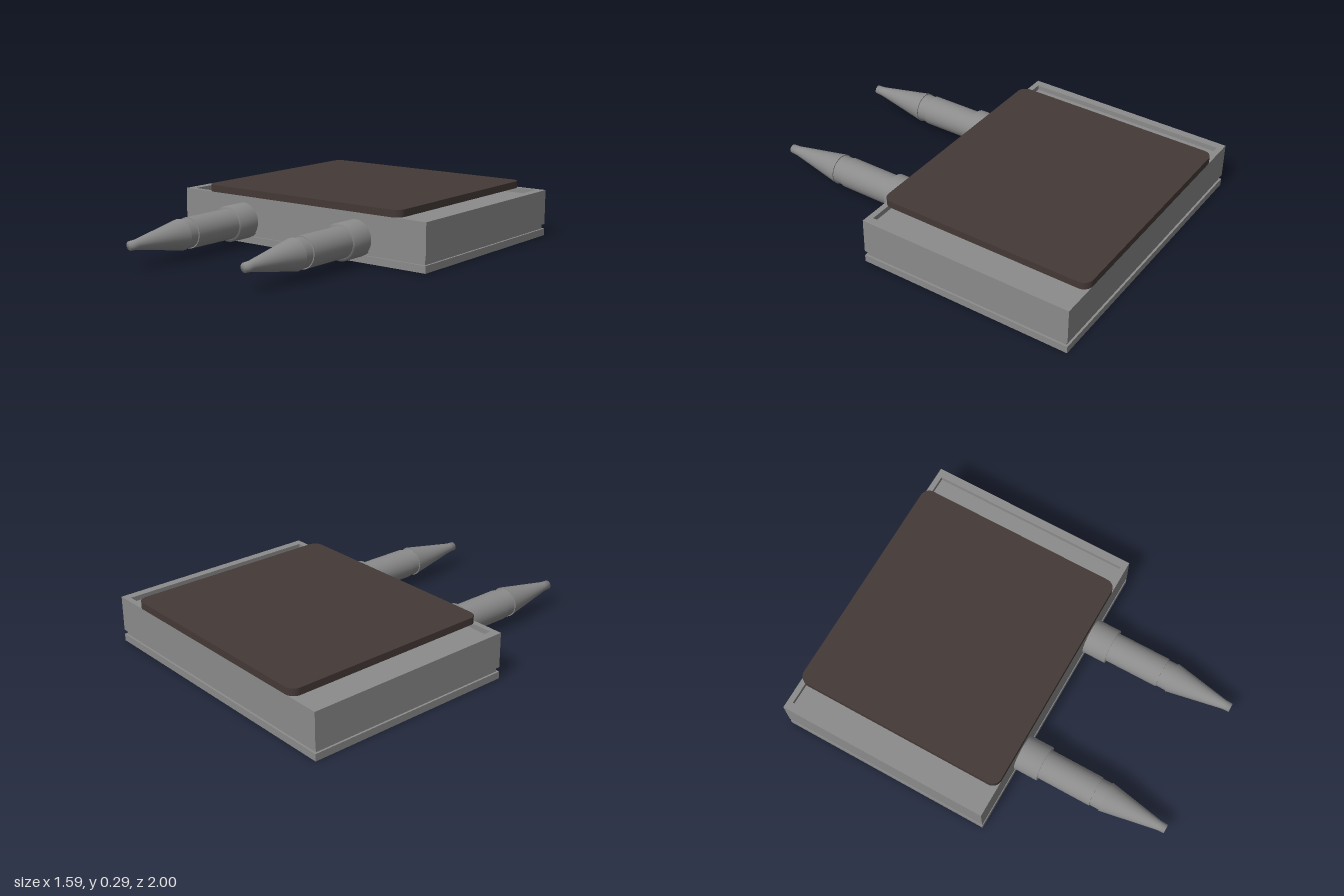
import * as THREE from 'three';

const grey = new THREE.MeshStandardMaterial({ color: 0x8b8b8b });
const brown = new THREE.MeshStandardMaterial({ color: 0x443937 });

const HALF_W = 0.793, BACK = -1, FRONT = 0.17;
const MID_Z = (BACK + FRONT) / 2, DEPTH = FRONT - BACK;

function rectangle(path, w, d, r = 0) {
  const x = w / 2, y = d / 2;
  path.moveTo(-x + r, -y);
  path.lineTo(x - r, -y);
  if (r) path.absarc(x - r, -y + r, r, -Math.PI / 2, 0);
  path.lineTo(x, y - r);
  if (r) path.absarc(x - r, y - r, r, 0, Math.PI / 2);
  path.lineTo(-x + r, y);
  if (r) path.absarc(-x + r, y - r, r, Math.PI / 2, Math.PI);
  path.lineTo(-x, -y + r);
  if (r) path.absarc(-x + r, -y + r, r, Math.PI, Math.PI * 1.5);
  path.closePath();
  return path;
}

// Horizontal slab between two heights, optionally hollowed into a frame
function slab(name, y0, y1, w, d, { material = grey, radius = 0, hole } = {}) {
  const shape = rectangle(new THREE.Shape(), w, d, radius);
  if (hole) shape.holes.push(rectangle(new THREE.Path(), hole[0], hole[1]));
  const geometry = new THREE.ExtrudeGeometry(shape, {
    depth: y1 - y0, bevelEnabled: false, curveSegments: 10,
  });
  geometry.rotateX(-Math.PI / 2);
  const mesh = new THREE.Mesh(geometry, material);
  mesh.name = name;
  mesh.position.set(0, y0, MID_Z);
  return mesh;
}

// Smooth turned section along z, from [radius, z] pairs listed back to front
function turned(name, profile) {
  const points = profile.map(([r, z]) => new THREE.Vector2(r, z));
  const geometry = new THREE.LatheGeometry(points, 40);
  geometry.rotateX(Math.PI / 2);
  const mesh = new THREE.Mesh(geometry, grey);
  mesh.name = name;
  return mesh;
}

function createPeg(name, x) {
  const peg = new THREE.Group();
  peg.name = name;
  peg.add(
    turned('collar', [[0.096, FRONT - 0.02], [0.096, 0.3], [0.07, 0.3]]),
    turned('shaft', [[0.081, 0.29], [0.081, 0.6]]),
    turned('shaftShoulder', [[0.081, 0.6], [0.07, 0.6]]),
    turned('neck', [[0.076, 0.59], [0.076, 0.66]]),
    turned('taperBack', [[0.07, 0.655], [0.081, 0.655]]),
    turned('taper', [[0.081, 0.655], [0.026, 0.96], [0.024, 1], [0, 1]]),
  );
  peg.position.set(x, 0.121, 0);
  return peg;
}

export function createModel() {
  const model = new THREE.Group();
  model.name = 'peggedTray';
  const w = HALF_W * 2;

  // Base: open frame underneath, closed panel, and the groove above it
  model.add(
    slab('baseFrame', 0, 0.018, w, DEPTH, { hole: [w - 0.06, DEPTH - 0.06] }),
    slab('basePlate', 0.018, 0.038, w, DEPTH),
    slab('grooveCore', 0.038, 0.063, w - 0.022, DEPTH - 0.022),
  );

  // Body with a shallow tray in its top
  model.add(
    slab('body', 0.063, 0.225, w, DEPTH),
    slab('trayRim', 0.225, 0.252, w, DEPTH, { hole: [w - 0.088, DEPTH - 0.06] }),
  );

  // Rounded pad lying across the rim
  model.add(slab('pad', 0.252, 0.29, 1.27, DEPTH, { material: brown, radius: 0.05 }));

  // Pair of pointed pegs on the front
  model.add(createPeg('leftPeg', 0.374), createPeg('rightPeg', -0.368));
  return model;
}
